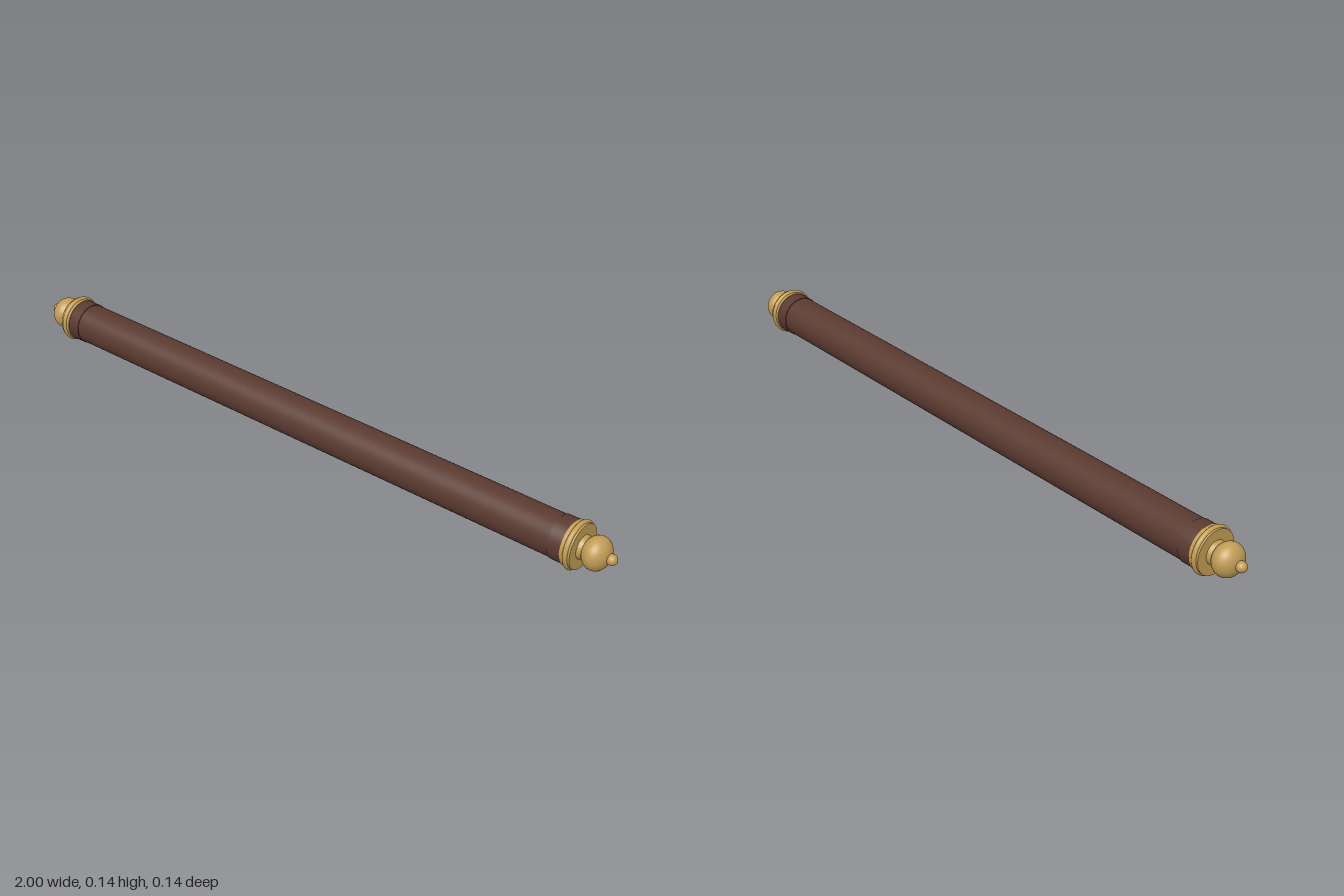
import * as THREE from 'three';

export function createModel() {
  const model = new THREE.Group();
  model.name = 'rod';
  const wood = new THREE.MeshStandardMaterial({ color: 0x5a3a30 });
  wood.name = 'dark wood';
  const brass = new THREE.MeshStandardMaterial({ color: 0xc19c55 });
  brass.name = 'brass';

  function add(parent, name, geometry, material, y = 0) {
    const mesh = new THREE.Mesh(geometry, material);
    mesh.name = name;
    mesh.position.y = y;
    parent.add(mesh);
    return mesh;
  }
  const cyl = (rTop, rBottom, h) => new THREE.CylinderGeometry(rTop, rBottom, h, 48);
  const ring = (radius, tube) => new THREE.TorusGeometry(radius, tube, 16, 64).rotateX(Math.PI / 2);

  // Long wooden shaft
  const shaft = add(model, 'shaft', cyl(0.058, 0.058, 1.68), wood, 0.0675);
  shaft.rotation.z = Math.PI / 2;

  // Matching turned ends, built along +y and laid outward along x
  for (const side of [1, -1]) {
    const end = new THREE.Group();
    end.name = side > 0 ? 'leftFinial' : 'rightFinial';
    end.position.y = 0.0675;
    end.rotation.z = -side * Math.PI / 2;
    model.add(end);

    add(end, 'woodCollar', cyl(0.06, 0.06, 0.045), wood, 0.8575);
    add(end, 'flange', cyl(0.062, 0.062, 0.03), brass, 0.888);
    add(end, 'flangeRim', ring(0.06, 0.0075), brass, 0.89);
    add(end, 'neck', cyl(0.028, 0.035, 0.022), brass, 0.908);

    // Slightly flattened ball with a small bead at the tip
    const ball = new THREE.SphereGeometry(0.046, 40, 28).scale(1, 0.8, 1);
    add(end, 'ball', ball, brass, 0.943);
    add(end, 'tipBead', new THREE.SphereGeometry(0.015, 24, 16), brass, 0.985);
  }
  return model;
}
